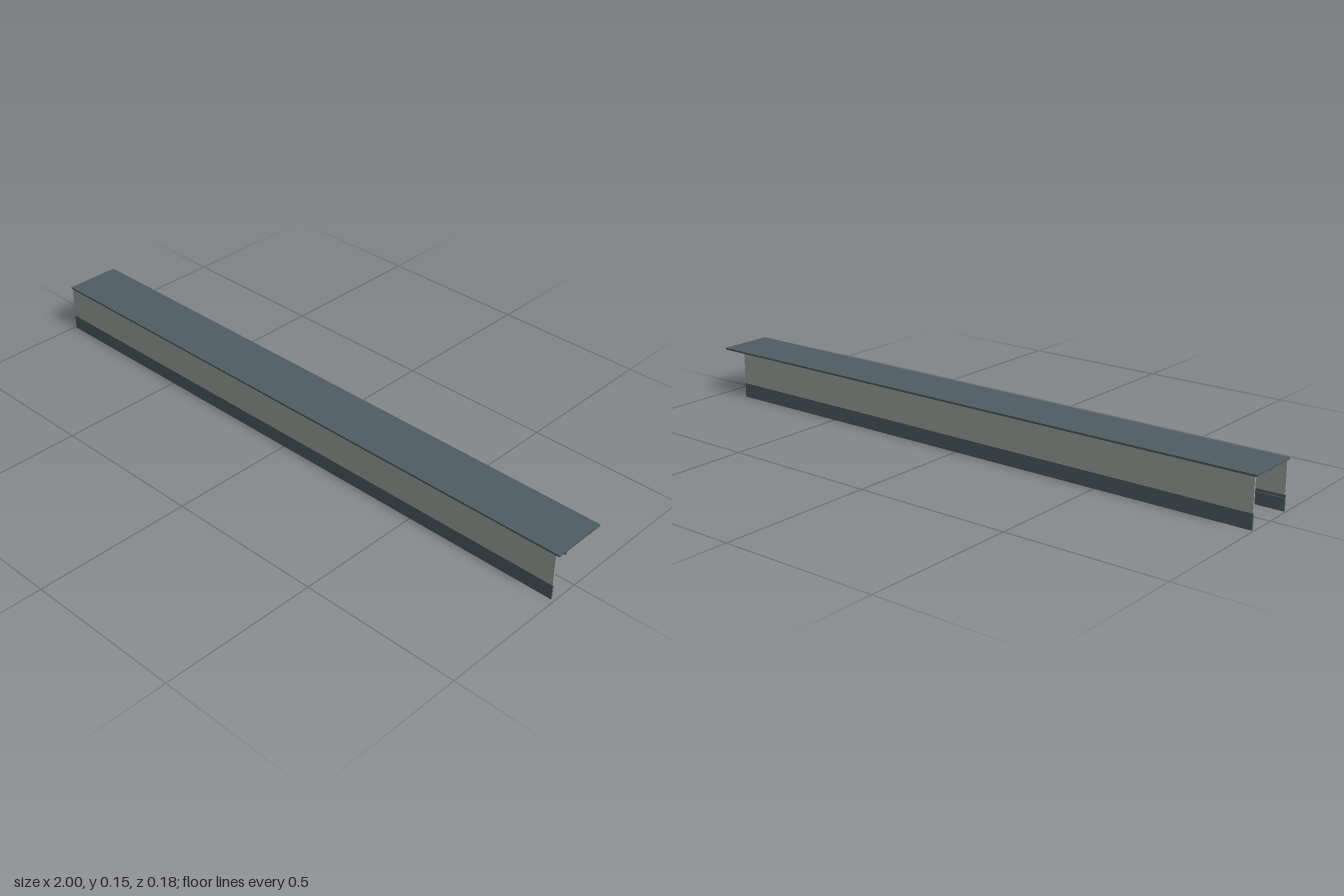
import * as THREE from 'three';

export function createModel() {
  const model = new THREE.Group();
  model.name = 'canopyChannel';

  const slate = new THREE.MeshStandardMaterial({ color: 0x4f5d63 });
  slate.name = 'slate';
  const paleGrey = new THREE.MeshStandardMaterial({ color: 0xa1a5a1 });
  paleGrey.name = 'paleGrey';

  // Box given by its limits on each axis
  function bar(parent, name, material, [x0, x1], [y0, y1], [z0, z1]) {
    const geometry = new THREE.BoxGeometry(x1 - x0, y1 - y0, Math.abs(z1 - z0));
    const mesh = new THREE.Mesh(geometry, material);
    mesh.name = name;
    mesh.position.set((x0 + x1) / 2, (y0 + y1) / 2, (z0 + z1) / 2);
    parent.add(mesh);
  }

  // Flat roof
  bar(model, 'roof', slate, [-1, 1], [0.148, 0.154], [-0.09, 0.09]);

  // T-shaped rail hanging below the middle of the roof
  const hanger = new THREE.Group();
  hanger.name = 'centreRail';
  bar(hanger, 'railStem', slate, [-0.995, 0.99], [0.145, 0.148], [-0.002, 0.002]);
  bar(hanger, 'railFlange', slate, [-0.995, 0.99], [0.141, 0.145], [-0.006, 0.006]);
  model.add(hanger);

  // Side walls: the back one stops short of the left end
  const walls = [
    { name: 'frontWall', side: 1, span: [-0.995, 0.99] },
    { name: 'backWall', side: -1, span: [-0.995, 0.91] },
  ];
  for (const { name, side, span } of walls) {
    const wall = new THREE.Group();
    wall.name = name;
    const depth = (inner, outer) => [side * inner, side * outer];
    bar(wall, 'upperPanel', paleGrey, span, [0.047, 0.148], depth(0.085, 0.0895));
    bar(wall, 'lowerBand', slate, span, [0, 0.047], depth(0.085, 0.09));
    bar(wall, 'lowerRail', slate, span, [0.034, 0.039], depth(0.082, 0.085));
    bar(wall, 'upperRail', paleGrey, span, [0.141, 0.148], depth(0.083, 0.085));
    model.add(wall);
  }

  return model;
}
